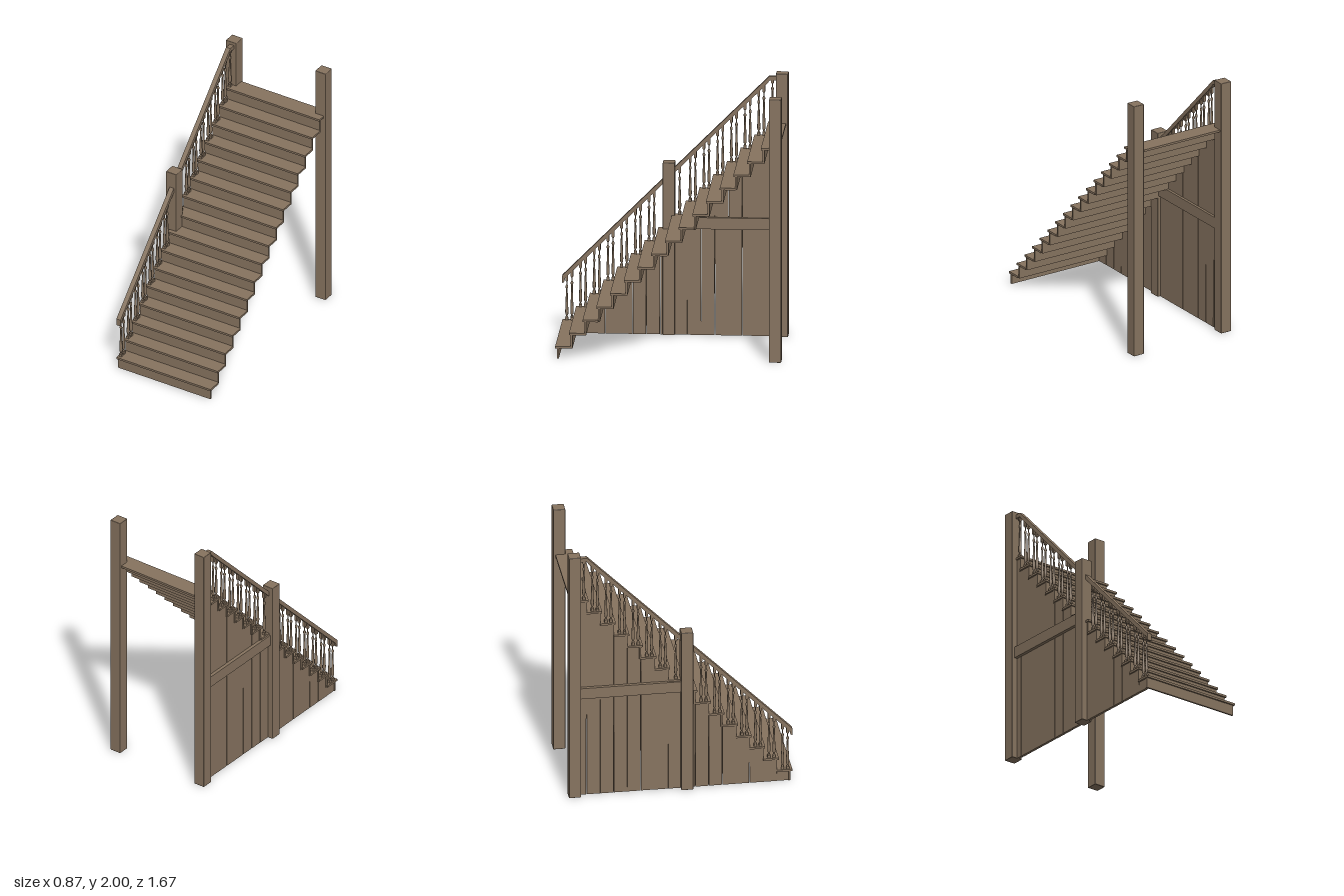
import * as THREE from 'three';
import { RoundedBoxGeometry } from 'three/addons/geometries/RoundedBoxGeometry.js';

const STEPS = 16, RISE = 0.102, RUN = 0.1013, THICK = 0.016;
const treadTop = (i) => 0.095 + RISE * i;
const treadFront = (i) => 0.832 - RUN * i;
const railTop = (z) => 1.27 - z * 1.007;

export function createModel() {
  const root = new THREE.Group();
  root.name = 'staircase';
  const wood = new THREE.MeshStandardMaterial({ color: 0x86735f });
  wood.name = 'brown wood';

  const add = (name, geometry, parent = root) => {
    const mesh = new THREE.Mesh(geometry, wood);
    mesh.name = name;
    parent.add(mesh);
    return mesh;
  };
  const group = (name) => {
    const g = new THREE.Group();
    g.name = name;
    root.add(g);
    return g;
  };
  // Box given by its limits on each axis
  const box = (name, x0, x1, y0, y1, z0, z1, parent) => {
    const g = new THREE.BoxGeometry(x1 - x0, y1 - y0, z1 - z0);
    g.translate((x0 + x1) / 2, (y0 + y1) / 2, (z0 + z1) / 2);
    return add(name, g, parent);
  };
  let seed = 7;
  const jitter = (a) => {
    seed = (seed * 16807) % 2147483647;
    return (seed / 2147483647 - 0.5) * 2 * a;
  };

  // Treads and risers, open underneath
  const steps = group('steps');
  for (let i = 0; i < STEPS; i++) {
    const top = treadTop(i), front = treadFront(i);
    const back = i === STEPS - 1 ? -0.822 : front - RUN - 0.014;
    box('tread', -0.402, 0.415, top - THICK, top, back, front, steps);
    box('riser', -0.395, 0.408, i ? treadTop(i - 1) - THICK : 0, top - THICK, front - 0.026, front - 0.012, steps);
  }

  // Upright planks closing the railing side, with slightly uneven gaps
  const wall = group('sideWall');
  for (let i = 0; i < STEPS; i++) {
    const top = treadTop(i) - THICK, front = treadFront(i) - 0.014;
    const back = Math.max(front - RUN, -0.76);
    const g = new THREE.BoxGeometry(0.02, top, front - back - 0.002);
    const lean = jitter(0.002), shift = jitter(0.001);
    const p = g.attributes.position;
    for (let k = 0; k < p.count; k++) {
      if (p.getY(k) < 0) p.setZ(k, p.getZ(k) * 0.985 + lean);
    }
    g.translate(-0.38 + shift, top / 2, (front + back) / 2);
    g.computeVertexNormals();
    add('wallPlank', g, wall);
  }

  // Cross beam between the middle and rear posts
  box('crossBeam', -0.415, -0.35, 0.81, 0.897, -0.76, 0.03);

  // Square posts
  const post = (name, x, z, h) => {
    const m = add(name, new RoundedBoxGeometry(0.09, h, 0.09, 1, 0.005));
    m.position.set(x, h / 2, z);
  };
  post('rearRightPost', -0.39, -0.793, 2);
  post('rearLeftPost', 0.385, -0.793, 2);
  post('middlePost', -0.39, 0.044, 1.31);

  // Sloping handrail with a dropped front end and a level top end
  const rail = new THREE.Shape([
    [0.832, 0.435], [0.832, 0.38], [0.818, 0.385], [0.812, 0.415],
    [-0.685, 1.922], [-0.7, 1.945], [-0.755, 1.945], [-0.755, 1.975], [-0.698, 1.975],
  ].map(([z, y]) => new THREE.Vector2(z, y)));
  const railGeo = new THREE.ExtrudeGeometry(rail, { depth: 0.036, bevelEnabled: false });
  railGeo.rotateY(-Math.PI / 2);
  railGeo.translate(-0.366, 0, 0);
  add('handrail', railGeo);

  // Turned balusters, two to a step
  const profile = [
    [0.007, 0.05], [0.01, 0.07], [0.005, 0.1], [0.011, 0.13], [0.012, 0.2],
    [0.009, 0.4], [0.006, 0.7], [0.01, 0.73], [0.01, 0.76], [0.004, 0.79],
    [0.004, 0.85], [0.01, 0.88],
  ].map(([r, y]) => new THREE.Vector2(r, y));
  const turned = new THREE.LatheGeometry(profile, 10);
  const balusters = group('balusters');
  const baluster = (i, z) => {
    const y = treadTop(i), h = railTop(z) - 0.03 - y;
    const b = new THREE.Group();
    b.name = 'baluster';
    b.position.set(-0.383, y, z);
    balusters.add(b);
    add('turnedShaft', turned, b).scale.y = h;
    const foot = add('footBlock', new THREE.BoxGeometry(0.022, h * 0.06, 0.022), b);
    foot.position.y = h * 0.03;
    const head = add('headBlock', new THREE.BoxGeometry(0.02, h * 0.12, 0.02), b);
    head.position.y = h * 0.94;
  };
  for (let i = 0; i < STEPS; i++) {
    if (i === 7) continue; // the middle post stands here
    if (i === 8) baluster(i, -0.035);
    else {
      baluster(i, treadFront(i) - 0.033);
      if (i < STEPS - 1) baluster(i, treadFront(i) - 0.071);
    }
  }
  return root;
}
